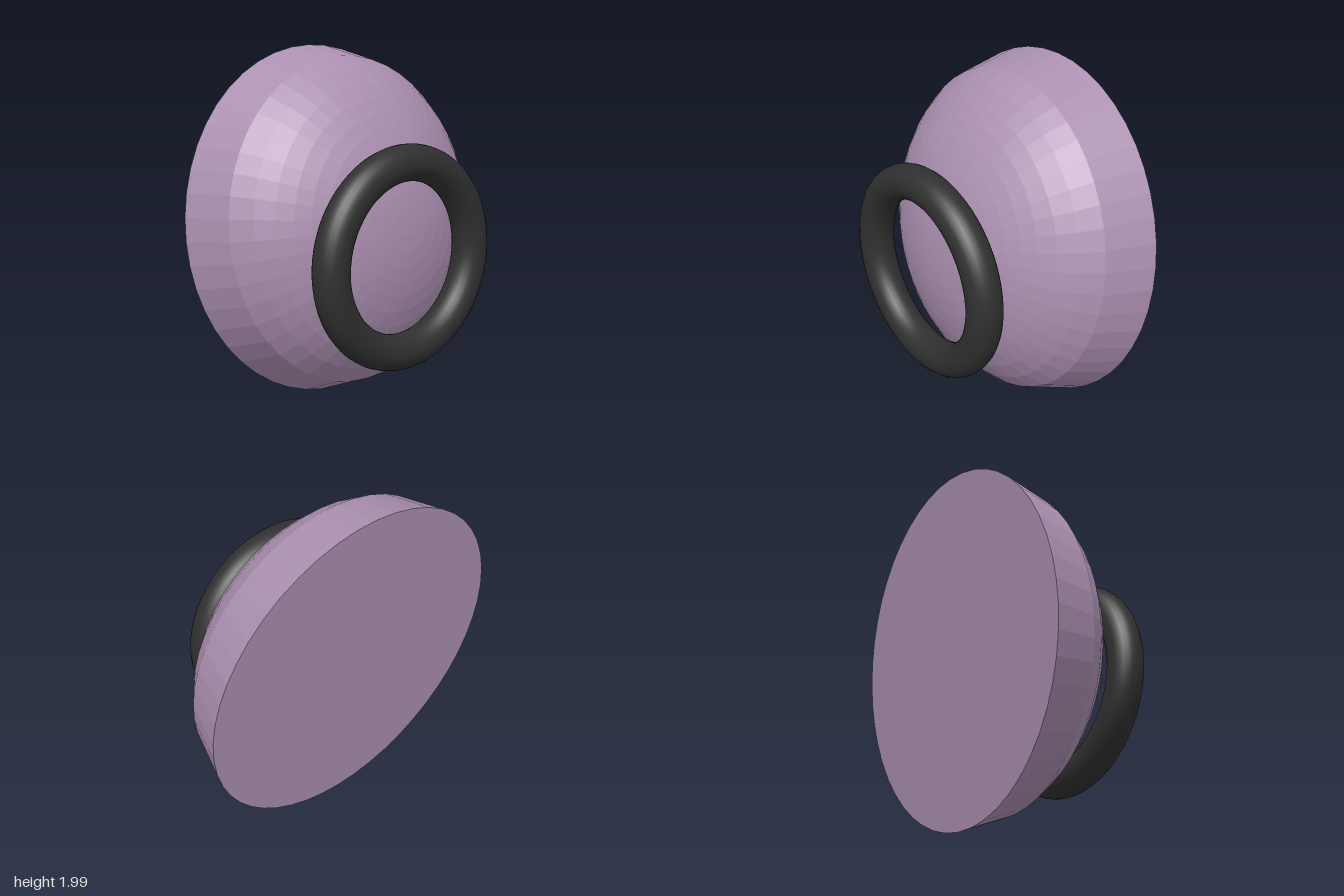
import * as THREE from 'three';

const mauve = new THREE.MeshStandardMaterial({ color: 0xac90b2 });
mauve.name = 'mauve';
const charcoal = new THREE.MeshStandardMaterial({ color: 0x303030 });
charcoal.name = 'charcoal';

const RINGS = 12;
const DEPTH = 0.705;

export function createModel() {
  const model = new THREE.Group();
  model.name = 'domeWithRing';

  // Faceted half-ellipsoid: rings evenly spaced in radius, closed by a flat back
  const profile = [new THREE.Vector2(0, 0)];
  for (let i = 0; i <= RINGS; i++) {
    const r = 1 - i / RINGS;
    profile.push(new THREE.Vector2(r, DEPTH * Math.sqrt(1 - r * r)));
  }
  const domeGeometry = new THREE.LatheGeometry(profile, 48)
    .scale(0.955, 1, 1.0025)
    .rotateX(THREE.MathUtils.degToRad(83)) // faces forward, tipped slightly up
    .translate(0, 1.005, -0.352)
    .toNonIndexed();
  domeGeometry.computeVertexNormals();
  const dome = new THREE.Mesh(domeGeometry, mauve);
  dome.name = 'dome';
  model.add(dome);

  // Smooth upright ring in front, slightly off centre
  const ring = new THREE.Mesh(new THREE.TorusGeometry(0.518, 0.1, 24, 96), charcoal);
  ring.name = 'frontRing';
  ring.position.set(-0.055, 0.903, 0.377);
  model.add(ring);

  return model;
}
